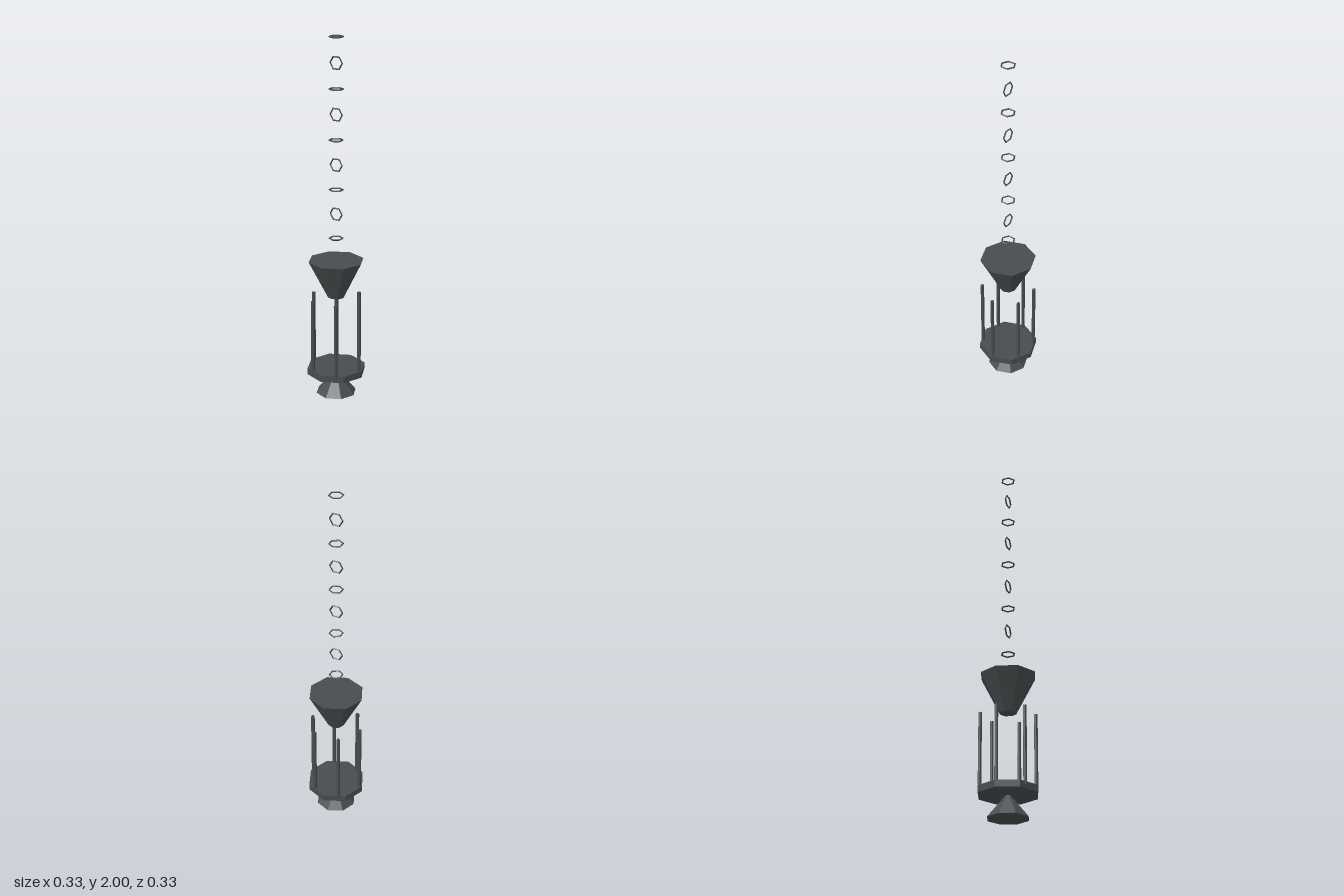
import * as THREE from 'three';

export function createModel() {
  const model = new THREE.Group();
  model.name = 'hangingLantern';
  const metal = new THREE.MeshStandardMaterial({ color: 0x484c4e, flatShading: true });

  function add(parent, name, geometry, x, y, z) {
    const mesh = new THREE.Mesh(geometry, metal);
    mesh.name = name;
    mesh.position.set(x, y, z);
    parent.add(mesh);
    return mesh;
  }

  // Upright cylinder or cone between two heights
  function column(parent, name, rTop, rBottom, y0, y1, sides, x = 0, z = 0) {
    const geometry = new THREE.CylinderGeometry(rTop, rBottom, y1 - y0, sides);
    return add(parent, name, geometry, x, (y0 + y1) / 2, z);
  }

  // Lantern body: pointed foot, floor plate and flared cap
  column(model, 'foot', 0, 0.113, 0, 0.137, 8);
  column(model, 'floorPlate', 0.164, 0.164, 0.12, 0.157, 8);
  column(model, 'cap', 0.154, 0.046, 0.568, 0.78, 8);

  // Cage of six bars, two of them on the x axis
  const cage = new THREE.Group();
  cage.name = 'cage';
  model.add(cage);
  for (let i = 0; i < 6; i++) {
    const a = (i * Math.PI) / 3;
    column(cage, 'cageBar', 0.0105, 0.0105, 0.14, 0.567, 6, 0.146 * Math.cos(a), 0.146 * Math.sin(a));
  }

  // Chain of hexagonal links, alternately flat and upright
  const chain = new THREE.Group();
  chain.name = 'chain';
  model.add(chain);
  const link = new THREE.TorusGeometry(0.0364, 0.0046, 4, 6);
  for (let i = 0; i < 9; i++) {
    const mesh = add(chain, 'chainLink', link, 0, 1.9954 - (8 - i) * 0.1362, 0);
    if (i % 2 === 0) mesh.rotation.set(Math.PI / 2, 0, Math.PI / 2);
  }

  return model;
}
